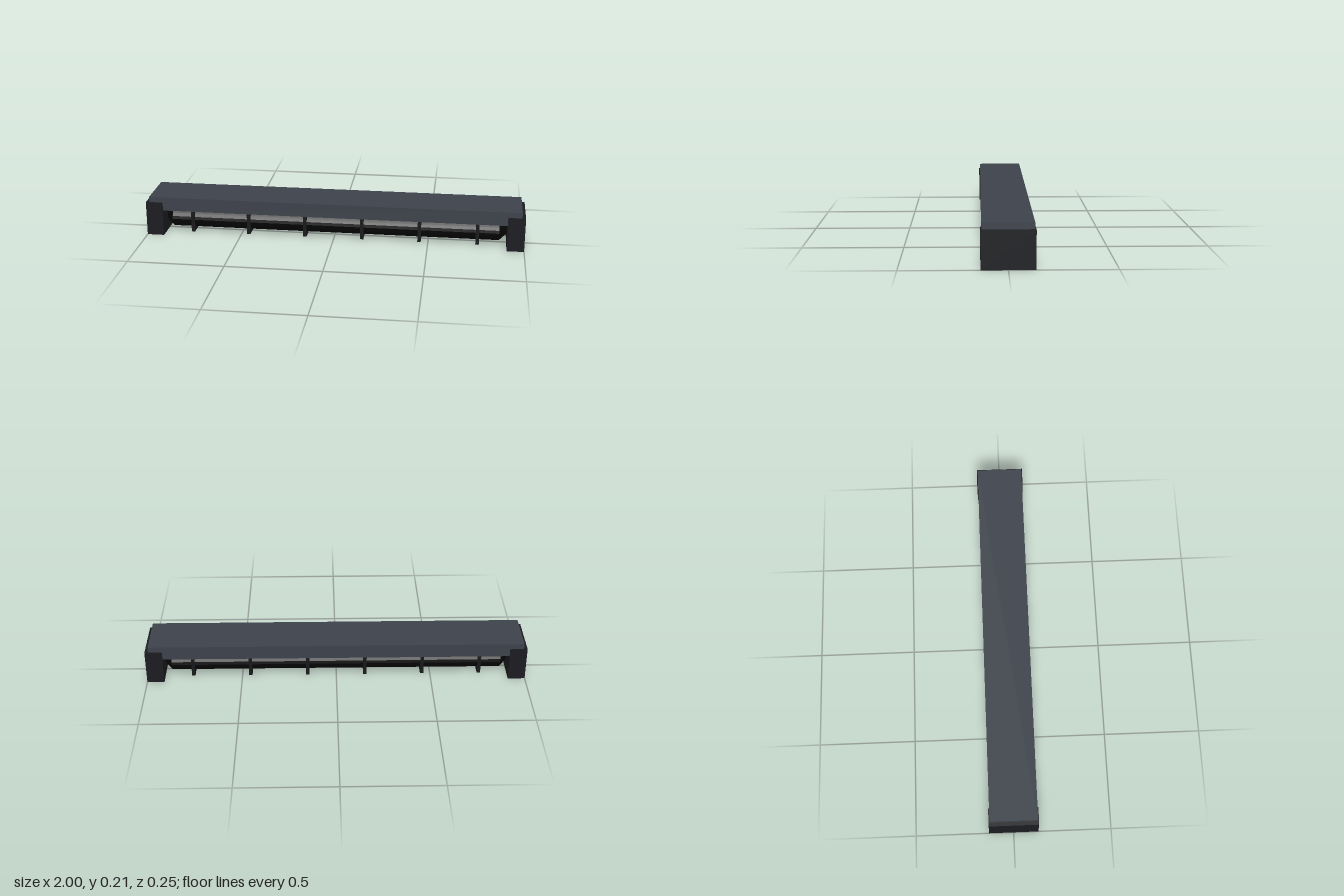
import * as THREE from 'three';

const material = (color) => new THREE.MeshStandardMaterial({ color, flatShading: true });

export function createModel() {
  const model = new THREE.Group();
  const coverMaterial = material(0x3d414a);
  const capMaterial = material(0x1b1c20);
  const rollerMaterial = material(0x060606);
  const finMaterial = material(0x17181a);

  const addBox = (name, size, position, mat) => {
    const mesh = new THREE.Mesh(new THREE.BoxGeometry(...size), mat);
    mesh.name = name;
    mesh.position.set(...position);
    model.add(mesh);
  };

  // Flat cover along the top
  addBox('topCover', [1.964, 0.074, 0.242], [0, 0.175, 0], coverMaterial);

  // Solid blocks at both ends
  for (const side of [-1, 1]) {
    addBox(side > 0 ? 'leftEndBlock' : 'rightEndBlock',
      [0.09, 0.183, 0.252], [side * 0.955, 0.0915, 0], capMaterial);
  }

  // Long roller of oval section with tapered ends
  const profile = [[0, -0.92], [0.02, -0.915], [0.06, -0.87], [0.06, 0.87], [0.02, 0.915], [0, 0.92]]
    .map(([r, y]) => new THREE.Vector2(r, y));
  const rollerGeometry = new THREE.LatheGeometry(profile, 24).scale(1, 1, 1.4).rotateZ(Math.PI / 2);
  const roller = new THREE.Mesh(rollerGeometry, rollerMaterial);
  roller.name = 'roller';
  roller.position.y = 0.078;
  model.add(roller);

  // Evenly spaced guard fins, just larger than the roller
  for (let i = 0; i < 6; i++) {
    addBox('guardFin', [0.018, 0.127, 0.176], [(i - 2.5) * 0.303, 0.0765, 0], finMaterial);
  }
  return model;
}
